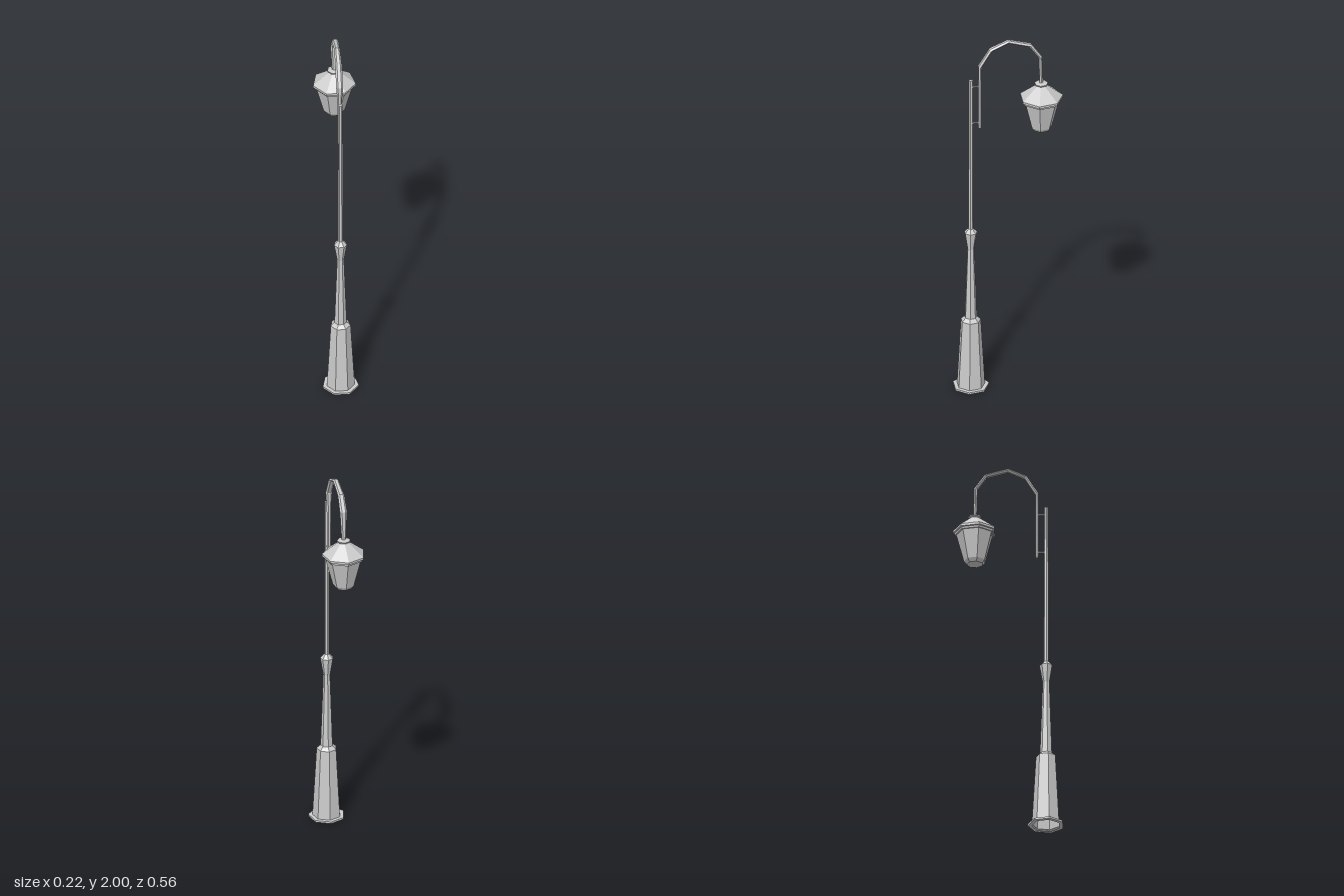
import * as THREE from 'three';

const SIDES = 7;
const POST_Z = 0.193;
const ARM_Z = 0.146;
const LAMP_Z = -0.169;

const material = new THREE.MeshStandardMaterial({
  color: 0xcccccc, flatShading: true, side: THREE.DoubleSide,
});

function addMesh(parent, name, geometry) {
  const mesh = new THREE.Mesh(geometry, material);
  mesh.name = name;
  parent.add(mesh);
  return mesh;
}

// Seven-sided turned part with one corner pointing to the back; profile is [radius, y]
function addTurned(parent, name, profile, z) {
  const points = profile.map(([r, y]) => new THREE.Vector2(r, y));
  const mesh = addMesh(parent, name, new THREE.LatheGeometry(points, SIDES, Math.PI));
  mesh.position.z = z;
}

// Mitred tube in the yz plane; stations are [z, y, half width in x]
function bentTube(stations, halfDepth, sides) {
  const positions = [];
  const index = [];
  const last = stations.length - 1;
  const direction = (i) => new THREE.Vector2(
    stations[i + 1][0] - stations[i][0], stations[i + 1][1] - stations[i][1]).normalize();

  stations.forEach(([z, y, width], i) => {
    const before = direction(Math.max(i - 1, 0));
    const after = direction(Math.min(i, last - 1));
    const t = before.clone().add(after).normalize();
    const depth = halfDepth / t.dot(after);
    for (let j = 0; j < sides; j++) {
      const a = (j / sides) * Math.PI * 2;
      const s = Math.sin(a) * depth;
      positions.push(Math.cos(a) * width, y + t.x * s, z - t.y * s);
    }
  });
  for (let i = 0; i < last; i++) {
    for (let j = 0; j < sides; j++) {
      const a = i * sides + j;
      const b = i * sides + ((j + 1) % sides);
      index.push(a, b, b + sides, a, b + sides, a + sides);
    }
  }
  // End caps
  for (let j = 1; j < sides - 1; j++) {
    const e = last * sides;
    index.push(0, j + 1, j, e, e + j, e + j + 1);
  }
  const geometry = new THREE.BufferGeometry();
  geometry.setAttribute('position', new THREE.Float32BufferAttribute(positions, 3));
  geometry.setIndex(index);
  geometry.computeVertexNormals();
  return geometry;
}

export function createModel() {
  const group = new THREE.Group();
  group.name = 'streetLamp';

  // Hollow foot with a flange, tapered shaft, flared collar and slim pole
  addTurned(group, 'post', [
    [0.073, 0], [0.094, 0], [0.094, 0.01], [0.073, 0.01],
    [0.052, 0.385], [0.032, 0.403],
    [0.018, 0.8], [0.034, 0.895], [0.013, 0.917],
    [0.011, 1.78], [0, 1.78],
  ], POST_Z);

  // Curved arm, widest at its two shoulders
  addMesh(group, 'arm', bentTube([
    [ARM_Z, 1.5, 0.011], [ARM_Z, 1.78, 0.012], [ARM_Z, 1.855, 0.018],
    [0.089, 1.949, 0.017], [0, 1.989, 0.0145], [-0.113, 1.959, 0.017],
    [-0.164, 1.887, 0.019], [-0.167, 1.78, 0.013], [LAMP_Z, 1.72, 0.011],
  ], 0.0095, 6));

  // Two short brackets tie the arm to the pole
  for (const y of [1.53, 1.74]) {
    const geometry = new THREE.CylinderGeometry(0.005, 0.005, POST_Z - ARM_Z, 6);
    geometry.rotateX(Math.PI / 2);
    addMesh(group, 'bracket', geometry).position.set(0, y, (POST_Z + ARM_Z) / 2);
  }

  // Hanging lantern
  const lantern = new THREE.Group();
  lantern.name = 'lantern';
  group.add(lantern);
  addTurned(lantern, 'lanternGlass', [
    [0, 1.465], [0.042, 1.467], [0.056, 1.485], [0.096, 1.637],
  ], LAMP_Z);
  addTurned(lantern, 'lanternRoof', [
    [0.09, 1.632], [0.102, 1.632], [0.104, 1.642], [0.1115, 1.644],
    [0.1115, 1.656], [0.026, 1.722], [0, 1.722],
  ], LAMP_Z);
  addTurned(lantern, 'lanternCap', [
    [0, 1.72], [0.022, 1.72], [0.035, 1.727], [0.035, 1.733], [0.012, 1.738], [0, 1.738],
  ], LAMP_Z);

  return group;
}
